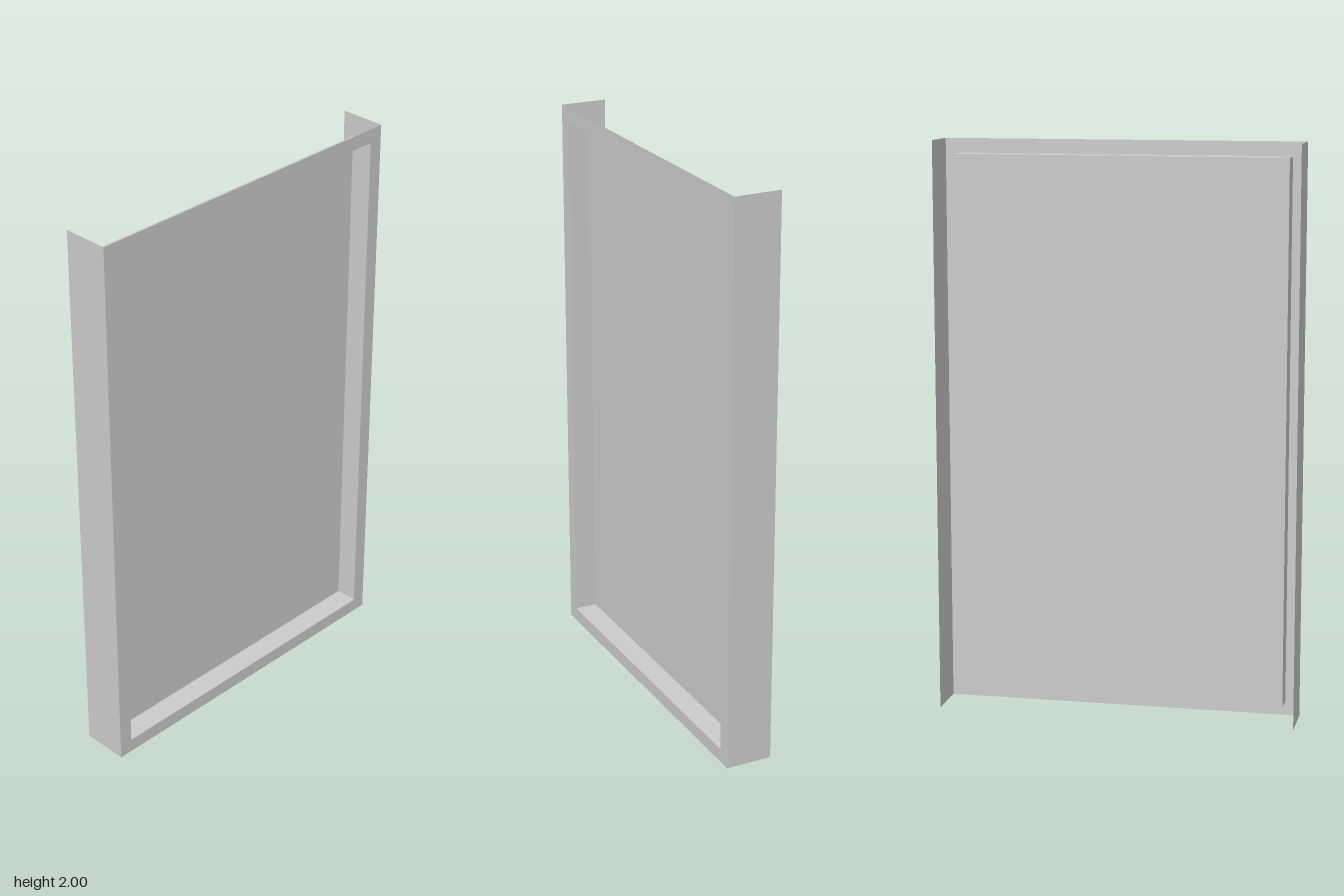
import * as THREE from 'three';

export function createModel() {
  const group = new THREE.Group();
  const material = new THREE.MeshStandardMaterial({ color: 0xcccccc, side: THREE.DoubleSide });

  const HALF_W = 0.63, HEIGHT = 2, RIM = 0.05;   // outer outline in z and y, rim width
  const FACE_X = 0.083, PANEL_X = 0.003;         // rim plane and recessed panel plane
  const innerZ = HALF_W - RIM, innerH = HEIGHT - 2 * RIM, midY = HEIGHT / 2;
  const depth = FACE_X - PANEL_X, midX = (FACE_X + PANEL_X) / 2;

  function add(name, geometry, x, y, z) {
    const mesh = new THREE.Mesh(geometry, material);
    mesh.name = name;
    mesh.position.set(x, y, z);
    group.add(mesh);
  }

  // Flat rim around the recess, facing +x
  const outline = (w, h) => [[-w, -h], [w, -h], [w, h], [-w, h]].map(p => new THREE.Vector2(...p));
  const rim = new THREE.Shape(outline(HALF_W, midY));
  rim.holes.push(new THREE.Path(outline(innerZ, innerH / 2).reverse()));
  add('rim', new THREE.ShapeGeometry(rim).rotateY(Math.PI / 2), FACE_X, midY, 0);

  // Recessed panel
  add('panel', new THREE.PlaneGeometry(2 * innerZ, innerH).rotateY(Math.PI / 2), PANEL_X, midY, 0);

  for (const s of [-1, 1]) {
    const end = s < 0 ? 'front' : 'back';

    // Upright recess walls, facing inwards
    const wall = new THREE.PlaneGeometry(depth, innerH).rotateY(s < 0 ? Math.PI : 0);
    add(end + 'RecessWall', wall, midX, midY, -s * innerZ);

    // Level recess walls, facing inwards
    const ledge = new THREE.PlaneGeometry(depth, 2 * innerZ).rotateX(s * Math.PI / 2);
    add(s < 0 ? 'lowerRecessWall' : 'upperRecessWall', ledge, midX, midY + s * innerH / 2, 0);

    // Side flanges folded back from the rim, facing outwards
    const flange = new THREE.PlaneGeometry(2 * FACE_X, HEIGHT).rotateY(s < 0 ? 0 : Math.PI);
    add(end + 'Flange', flange, 0, midY, -s * HALF_W);
  }

  return group;
}
